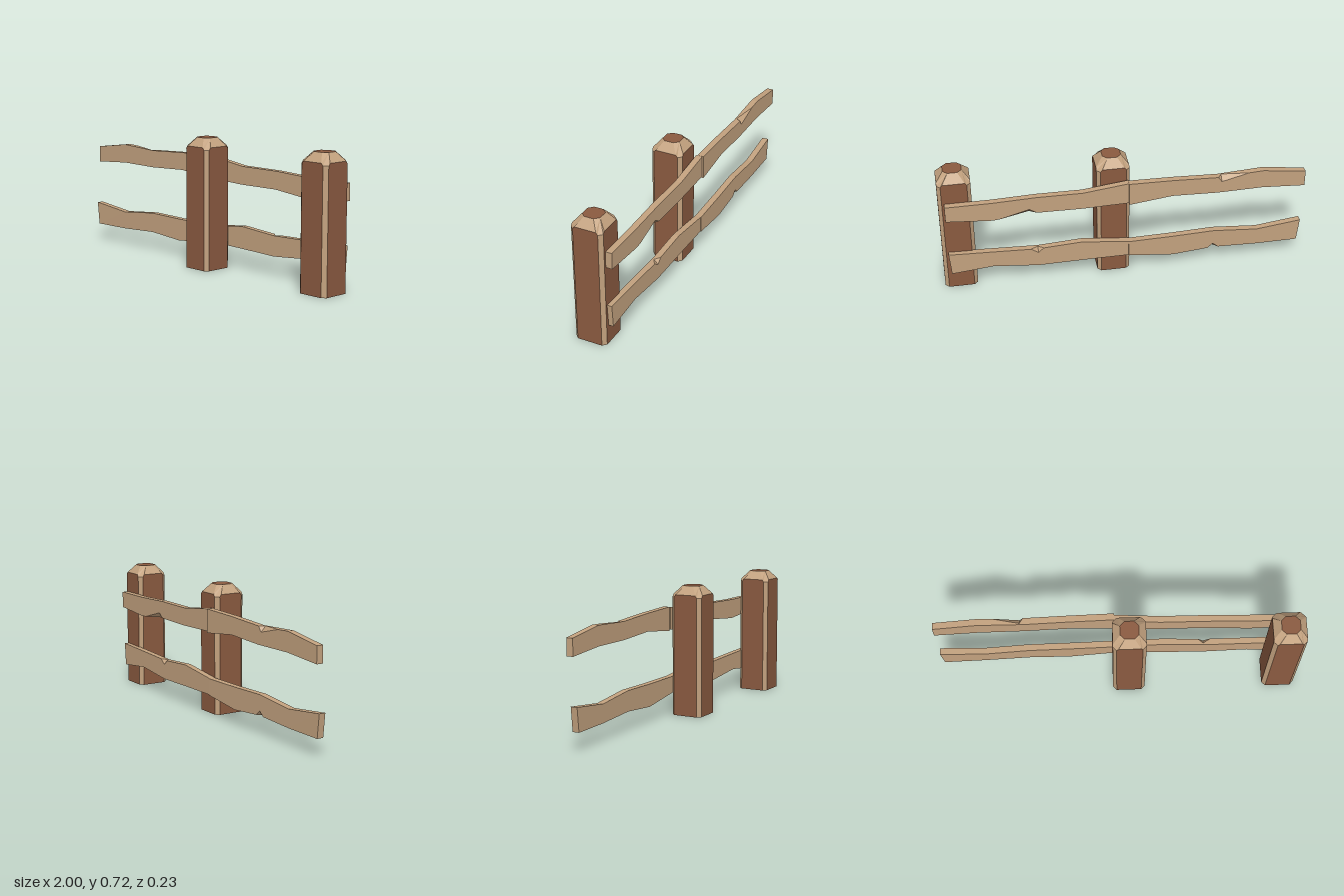
import * as THREE from 'three';

const tan = new THREE.MeshStandardMaterial({ color: 0xc2a17e, flatShading: true });
const brown = new THREE.MeshStandardMaterial({ color: 0x8a5a40, flatShading: true });

// Flat-shaded mesh from convex polygons (each an array of Vector3)
function polyMesh(name, polys, material) {
  const pos = [];
  for (const p of polys) {
    for (let i = 1; i < p.length - 1; i++) {
      const tri = new THREE.Triangle(p[0], p[i], p[i + 1]);
      if (tri.getArea() < 1e-8) continue;
      for (const v of [tri.a, tri.b, tri.c]) pos.push(v.x, v.y, v.z);
    }
  }
  const geo = new THREE.BufferGeometry();
  geo.setAttribute('position', new THREE.Float32BufferAttribute(pos, 3));
  geo.computeVertexNormals();
  const mesh = new THREE.Mesh(geo, material);
  mesh.name = name;
  return mesh;
}

// Square ring with cut corners: half width h, half flat side f
function octagon(h, f, y) {
  return [[h, f], [f, h], [-f, h], [-h, f], [-h, -f], [-f, -h], [f, -h], [h, -f]]
    .map(([x, z]) => new THREE.Vector3(x, y, z));
}

function createPost(name, x, z) {
  const foot = octagon(0.09, 0.07, 0);
  const shoulder = octagon(0.09, 0.07, 0.66);
  const raised = octagon(0.09, 0.06, 0.673);
  const top = octagon(0.05, 0.026, 0.72);
  const faces = [], corners = [], cap = [];
  for (let i = 0; i < 8; i++) {
    const j = (i + 1) % 8;
    if (i % 2) {
      faces.push([foot[i], shoulder[i], raised[i], raised[j], shoulder[j], foot[j]]);
      cap.push([raised[i], top[i], top[j], raised[j]]);
    } else {
      corners.push([foot[i], shoulder[i], shoulder[j], foot[j]]);
      cap.push([top[i], top[j], raised[j], shoulder[j], shoulder[i], raised[i]]);
    }
  }
  faces.push(foot, [...top].reverse());
  const post = new THREE.Group();
  post.name = name;
  post.add(polyMesh('postFaces', faces, brown), polyMesh('postCorners', corners, tan),
    polyMesh('postCap', cap, tan));
  post.position.set(x, 0, z);
  return post;
}

// stations: [x, bottom, top, bottom x shift]; z: front face at start and end
// nick: a cut in a back edge [x start, x deepest, x end, size, 'top' | 'bottom']
function createRail(name, stations, zStart, zEnd, thickness, nick) {
  const first = stations[0][0], last = stations[stations.length - 1][0];
  const at = (x) => {
    let k = 0;
    while (k < stations.length - 2 && x > stations[k + 1][0]) k++;
    const a = stations[k], b = stations[k + 1], t = (x - a[0]) / (b[0] - a[0]);
    return [1, 2, 3].map((n) => THREE.MathUtils.lerp(a[n] ?? 0, b[n] ?? 0, t));
  };
  const xs = [...new Set([...stations.map((s) => s[0]), ...nick.slice(0, 3)])].sort((a, b) => a - b);
  const rings = xs.map((x) => {
    const [lo, hi, shift] = at(x);
    const front = THREE.MathUtils.lerp(zStart, zEnd, (x - first) / (last - first));
    const back = front - thickness;
    const cut = x === nick[1] ? nick[3] : 0;
    const ct = nick[4] === 'top' ? cut : 0, cb = cut - ct;
    return [[lo, front, shift], [hi, front, 0], [hi, back + ct, 0], [hi - ct, back, 0],
      [lo + cb, back, shift], [lo, back + cb, shift]]
      .map(([y, z, dx]) => new THREE.Vector3(x + dx, y, z));
  });
  const polys = [rings[0], [...rings[rings.length - 1]].reverse()];
  for (let k = 0; k < rings.length - 1; k++) {
    const a = rings[k], b = rings[k + 1];
    for (let i = 0; i < 6; i++) {
      const j = (i + 1) % 6;
      polys.push([a[i], b[i], b[j], a[j]]);
    }
  }
  return polyMesh(name, polys, tan);
}

export function createModel() {
  const fence = new THREE.Group();
  fence.name = 'fence';

  // Posts
  fence.add(createPost('middlePost', 0.057, 0.027), createPost('endPost', 0.908, 0.027));

  // Wavy rails, two lengths meeting behind the middle post
  fence.add(
    createRail('upperRightRail',
      [[-1, 0.475, 0.567], [-0.76, 0.491, 0.599], [-0.51, 0.487, 0.585], [-0.26, 0.497, 0.596], [-0.02, 0.468, 0.601]],
      -0.07, -0.08, 0.037, [-0.68, -0.53, -0.5, 0.03, 'top']),
    createRail('upperLeftRail',
      [[-0.02, 0.475, 0.6], [0.23, 0.467, 0.567], [0.48, 0.469, 0.567], [0.72, 0.445, 0.557], [0.967, 0.463, 0.555]],
      -0.073, -0.064, 0.036, [0.48, 0.52, 0.68, 0.03, 'bottom']),
    createRail('lowerRightRail',
      [[-1, 0.096, 0.226, 0.014], [-0.75, 0.097, 0.197], [-0.5, 0.108, 0.22], [-0.27, 0.089, 0.214], [-0.02, 0.118, 0.212]],
      -0.05, -0.068, 0.037, [-0.53, -0.5, -0.47, 0.025, 'bottom']),
    createRail('lowerLeftRail',
      [[-0.02, 0.12, 0.212], [0.24, 0.116, 0.239], [0.48, 0.11, 0.222], [0.73, 0.133, 0.23], [0.967, 0.108, 0.237, -0.01]],
      -0.067, -0.055, 0.035, [0.45, 0.48, 0.52, 0.025, 'top']),
  );
  return fence;
}
